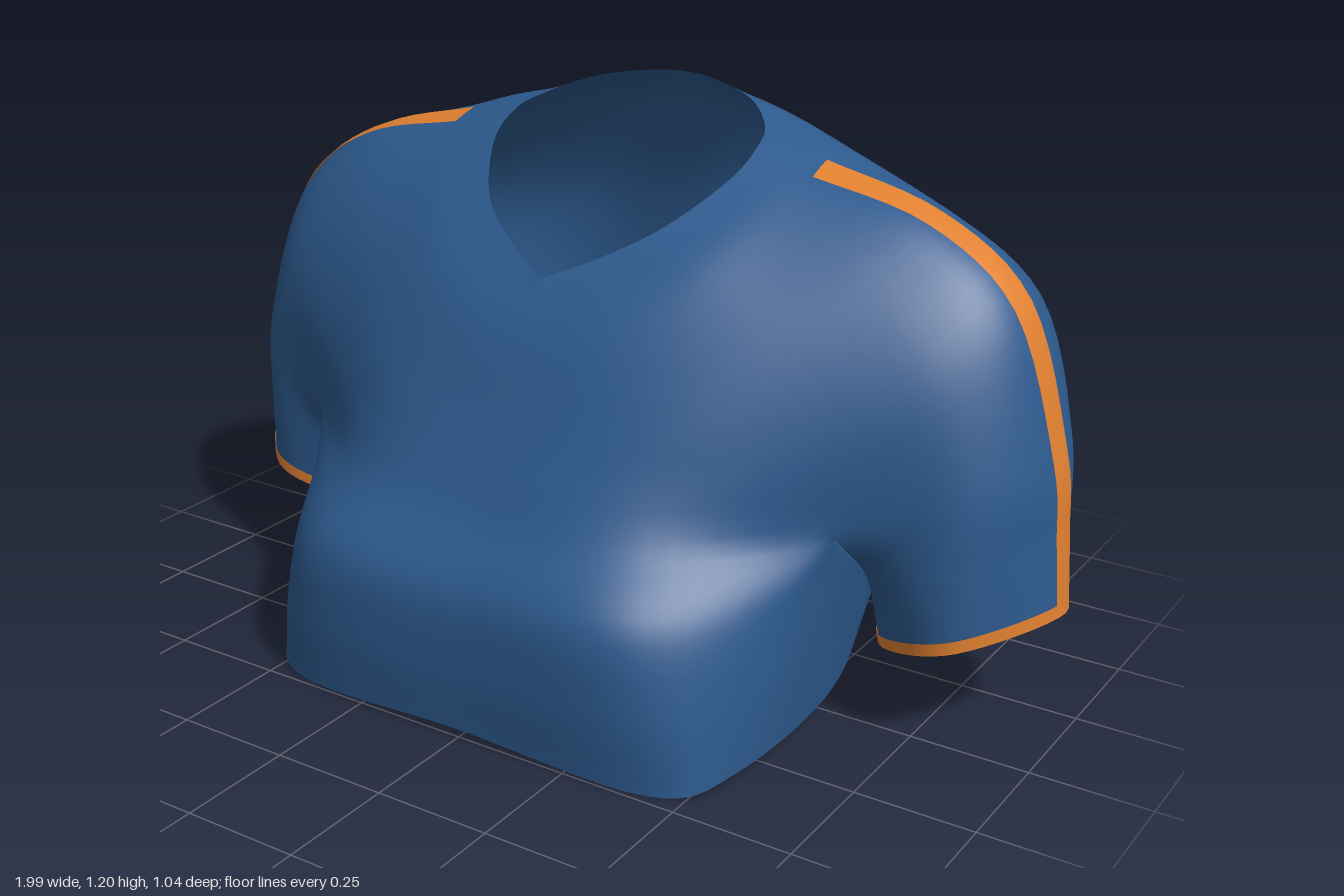
import * as THREE from 'three';
import { mergeGeometries, mergeVertices } from 'three/addons/utils/BufferGeometryUtils.js';

const N = 8; // samples between neighbouring control points round a loop
const M = 6; // samples between neighbouring loops
const V = (p) => new THREE.Vector3(...p);
const flipX = (p) => new THREE.Vector3(-p.x, p.y, p.z);
const extend = (a, b) => a.clone().multiplyScalar(2).sub(b);

// Smooth curve through pts; before and after only steer the end tangents
function spline(before, pts, after, n) {
  const all = [before, ...pts, after];
  const curve = new THREE.CatmullRomCurve3(all, false, 'catmullrom', 0.5);
  const out = [];
  for (let i = 0; i <= (pts.length - 1) * n; i++) out.push(curve.getPoint((1 + i / n) / (all.length - 1)));
  return out;
}
// Half loop from front centre to back centre, and a closed loop
const halfLoop = (p, pointed) =>
  spline(pointed ? extend(p[0], p[1]) : flipX(p[1]), p, flipX(p[p.length - 2]), N);
const closedLoop = (p) => spline(p[p.length - 1], [...p, p[0]], p[1], N);

// Blends sampled loops lengthwise into a grid [row][column]
function blend(before, rows, after) {
  const cols = rows[0].map((_, c) => {
    const col = rows.map((r) => r[c]);
    const end = after ? after[c] : extend(col[col.length - 1], col[col.length - 2]);
    const start = before ? before[c] : extend(col[0], col[1]);
    return spline(start, col, end, M);
  });
  return cols[0].map((_, r) => cols.map((c) => c[r]));
}

function gridGeometry(grid, mirrored = false) {
  const w = grid[0].length, pos = [], index = [];
  grid.forEach((row) => row.forEach((p) => pos.push(mirrored ? -p.x : p.x, p.y, p.z)));
  for (let r = 0; r < grid.length - 1; r++) {
    for (let c = 0; c < w - 1; c++) {
      const a = r * w + c, b = a + 1, d = a + w, e = d + 1;
      if (mirrored) index.push(a, b, d, b, e, d);
      else index.push(a, d, b, b, d, e);
    }
  }
  const g = new THREE.BufferGeometry();
  g.setAttribute('position', new THREE.Float32BufferAttribute(pos, 3));
  g.setIndex(index);
  return g;
}

// Joins grids and their mirror images into one smooth surface
function smoothPair(grids) {
  const parts = grids.flatMap((g) => [gridGeometry(g), gridGeometry(g, true)]);
  const g = mergeVertices(mergeGeometries(parts), 1e-4);
  g.computeVertexNormals();
  return g;
}

// Loops of the yoke: front centre, round the arm, to back centre
const yoke = [
  [[0, .88, .2], [.11, .93, .15], [.21, .99, .08], [.285, 1.07, -.04], [.295, 1.12, -.13], [.27, 1.145, -.2], [.2, 1.175, -.27], [.1, 1.195, -.31], [0, 1.2, -.335]],
  [[0, .78, .27], [.2, .83, .23], [.34, .93, .125], [.42, 1.04, -.03], [.43, 1.09, -.135], [.41, 1.11, -.25], [.32, 1.1, -.37], [.17, 1.12, -.415], [0, 1.12, -.405]],
  [[0, .63, .335], [.26, .66, .305], [.47, .78, .18], [.63, .95, .005], [.68, 1.03, -.135], [.63, 1, -.3], [.46, .95, -.445], [.25, .98, -.48], [0, .97, -.465]],
  [[0, .53, .382], [.28, .55, .35], [.56, .61, .195], [.78, .8, .035], [.865, .89, -.135], [.81, .84, -.345], [.59, .74, -.465], [.32, .8, -.512], [0, .8, -.482]],
  [[0, .44, .425], [.32, .45, .395], [.63, .47, .15], [.86, .57, .045], [.96, .6, -.14], [.875, .58, -.355], [.64, .46, -.37], [.34, .52, -.49], [0, .52, -.468]],
].map((r) => r.map(V));

// Loops of the sleeve below the armpit
const sleeveRows = [
  [[.665, .34, .045], [.85, .4, .06], [.978, .44, -.145], [.86, .4, -.345], [.67, .33, -.32], [.635, .32, -.13]],
  [[.69, .19, .015], [.855, .24, .05], [.99, .28, -.15], [.855, .235, -.33], [.69, .185, -.285], [.63, .172, -.14]],
].map((r) => r.map(V));

// Half loops of the torso below the armpit
const torsoRows = [
  [[0, .32, .507], [.37, .33, .485], [.585, .32, .23], [.605, .32, -.09], [.55, .34, -.33], [.31, .35, -.468], [0, .35, -.455]],
  [[0, .17, .517], [.41, .17, .495], [.567, .17, .29], [.585, .19, -.05], [.515, .22, -.3], [.29, .25, -.442], [0, .25, -.432]],
  [[0, .022, .505], [.43, .002, .48], [.55, .025, .34], [.567, .05, -.02], [.485, .11, -.27], [.27, .15, -.412], [0, .152, -.405]],
].map((r) => r.map(V));

export function createModel() {
  const fabric = new THREE.MeshStandardMaterial({ color: 0x2d5a8e, side: THREE.DoubleSide });
  fabric.name = 'blue fabric';
  const trim = new THREE.MeshStandardMaterial({ color: 0xe08030, side: THREE.DoubleSide });
  trim.name = 'orange trim';
  const model = new THREE.Group();
  model.name = 'croppedShirt';
  const add = (name, grids, material) => {
    const mesh = new THREE.Mesh(smoothPair(grids), material);
    mesh.name = name;
    model.add(mesh);
  };

  // Yoke, which splits at the armpits into torso and sleeves
  const loops = yoke.map((r, i) => halfLoop(r, i === 0));
  const [s, t] = [sleeveRows[0], torsoRows[0]];
  const next = [t[0], t[1], t[2].clone().lerp(s[0], .5), s[1], s[2], s[3], s[4].clone().lerp(t[4], .5), t[5], t[6]];
  const shell = blend(null, loops, halfLoop(next));

  // Seam under the arm, shared by torso and sleeve
  const split = loops[4], above = loops[3];
  const [front, pit, back] = [yoke[4][2], V([.64, .46, -.12]), yoke[4][6]];
  const bridge = spline(extend(front, pit), [front, pit, back], extend(back, pit), N);
  const bridgeUp = bridge.map((p) => p.clone().add(V([0, .12, 0])));
  const sleeveTop = (l, b) => [...l.slice(2 * N, 6 * N), ...b.slice().reverse()];
  const torsoTop = (l, b) => [...l.slice(0, 2 * N), ...b, ...l.slice(6 * N + 1)];

  const sleeve = blend(sleeveTop(above, bridgeUp), [sleeveTop(split, bridge), ...sleeveRows.map(closedLoop)]);
  const torso = blend(torsoTop(above, bridgeUp), [torsoTop(split, bridge), ...torsoRows.map((r) => halfLoop(r))]);
  add('shirtBody', [shell, torso, sleeve], fabric);

  // Cuffs: outer band, rim underneath and inner band
  const scaled = (row, k) => {
    const mid = row.slice(1).reduce((a, p) => a.add(p), new THREE.Vector3()).divideScalar(row.length - 1);
    return row.map((p) => p.clone().sub(mid).multiplyScalar(k).add(mid));
  };
  const [upper, cuff] = sleeve.slice(-2);
  const liningTop = cuff.map((p, i) => p.clone().lerp(upper[i], .6));
  add('cuffBands', [[scaled(upper, 1.015), scaled(cuff, 1.02)]], trim);
  add('cuffRims', [[scaled(cuff, 1.02), scaled(cuff, .86)]], fabric);
  add('cuffLinings', [[scaled(cuff, .86), scaled(liningTop, .87)]], trim);

  // Stripe from shoulder to cuff, following the surface
  const reach = (row, c, step) => {
    let i = c;
    while (Math.abs(row[i + step].z - row[c].z) < .032) i += step;
    const a = row[i], b = row[i + step];
    const k = (.032 - Math.abs(a.z - row[c].z)) / Math.abs(b.z - a.z);
    return a.clone().lerp(b, k);
  };
  const strip = (row, c) => [reach(row, c, -1), row[c].clone(), reach(row, c, 1)];
  const flat = [...shell.slice(M).map((r) => strip(r, 4 * N)), ...sleeve.slice(1).map((r) => strip(r, 2 * N))];
  const stripe = flat.map((row, i) => {
    const down = flat[Math.min(i + 1, flat.length - 1)][1].clone().sub(flat[Math.max(i - 1, 0)][1]);
    const out = down.cross(row[2].clone().sub(row[0])).normalize().multiplyScalar(.004);
    return row.map((p) => p.clone().add(out));
  });
  add('sleeveStripes', [stripe], trim);

  return model;
}
